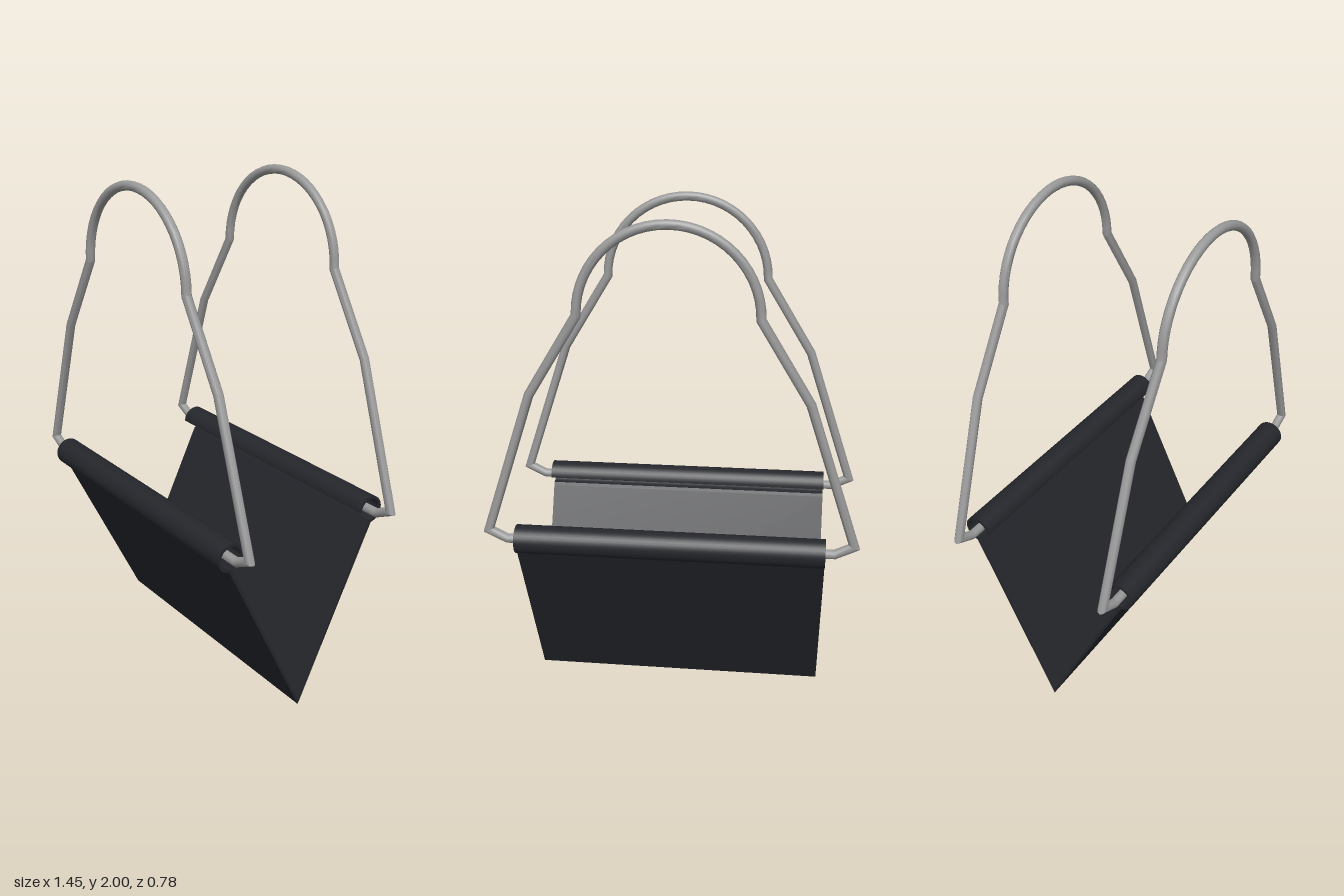
import * as THREE from 'three';
import { toCreasedNormals } from 'three/addons/utils/BufferGeometryUtils.js';

const SPREAD = 0.335;   // z of each handle and sleeve
const SLEEVE_Y = 0.76;  // height of the sleeve centre

// Round rod along a flat path in the xy plane, with mitred bends and closed ends
function rodGeometry(path, radius, sides = 12) {
  const pos = [], index = [];
  const last = path.length - 1;
  path.forEach((p, i) => {
    const a = p.clone().sub(path[Math.max(i - 1, 0)]).normalize();
    const b = path[Math.min(i + 1, last)].clone().sub(p).normalize();
    const t = a.clone().add(b).normalize();
    const cosHalf = i === 0 || i === last ? 1 : t.dot(a);
    const n = new THREE.Vector2(-t.y, t.x).multiplyScalar(radius / cosHalf);
    for (let j = 0; j < sides; j++) {
      const ang = (j / sides) * Math.PI * 2;
      pos.push(p.x + n.x * Math.cos(ang), p.y + n.y * Math.cos(ang), radius * Math.sin(ang));
    }
  });
  for (let i = 0; i < last; i++) {
    for (let j = 0; j < sides; j++) {
      const k = (j + 1) % sides;
      const a = i * sides + j, b = i * sides + k;
      index.push(a, b, a + sides, b, b + sides, a + sides);
    }
  }
  for (let j = 1; j < sides - 1; j++) {
    const e = last * sides;
    index.push(0, j + 1, j, e, e + j, e + j + 1);
  }
  const geo = new THREE.BufferGeometry();
  geo.setAttribute('position', new THREE.Float32BufferAttribute(pos, 3));
  geo.setIndex(index);
  return toCreasedNormals(geo, 0.6);
}

// Handle outline: stub in the sleeve, splayed leg, shoulder, round grip, mirrored
function handlePath() {
  const leg = [[0.44, 0.76], [0.63, 0.76], [0.702, 0.795], [0.517, 1.35], [0.33, 1.655]]
    .map(([x, y]) => new THREE.Vector2(x, y));
  const grip = [];
  for (let i = 1; i < 28; i++) {
    const a = (i / 28) * Math.PI;
    grip.push(new THREE.Vector2(0.33 * Math.cos(a), 1.655 + 0.327 * Math.sin(a)));
  }
  const mirrored = leg.map(p => new THREE.Vector2(-p.x, p.y)).reverse();
  return [...leg, ...grip, ...mirrored];
}

// Sling cross-section: V-shaped panels ending in open C-shaped sleeves
function slingShape() {
  const arc = (r, from, to) => Array.from({ length: 25 }, (_, i) => {
    const a = from + (to - from) * (i / 24);
    return new THREE.Vector2(SPREAD + r * Math.cos(a), SLEEVE_Y + r * Math.sin(a));
  });
  const half = [
    new THREE.Vector2(0.341, 0.703),
    ...arc(0.056, -Math.PI / 2 + 0.12, Math.PI),
    ...arc(0.044, Math.PI, -Math.PI / 2),
    new THREE.Vector2(0.328, 0.704),
  ];
  const other = half.map(p => new THREE.Vector2(-p.x, p.y)).reverse();
  return new THREE.Shape([
    new THREE.Vector2(0, 0), ...half, new THREE.Vector2(0, 0.022), ...other,
  ]);
}

export function createModel() {
  const model = new THREE.Group();
  model.name = 'slingRack';
  const metal = new THREE.MeshStandardMaterial({ color: 0x999999 });
  const cloth = new THREE.MeshStandardMaterial({ color: 0x24262b });

  // Cloth sling, extruded along x
  const width = 1.19;
  const slingGeo = new THREE.ExtrudeGeometry(slingShape(), { depth: width, bevelEnabled: false });
  slingGeo.translate(0, 0, -width / 2).rotateY(Math.PI / 2);
  const sling = new THREE.Mesh(toCreasedNormals(slingGeo, 0.5), cloth);
  sling.name = 'sling';
  model.add(sling);

  // Front and back wire handles
  const handleGeo = rodGeometry(handlePath(), 0.018);
  for (const [name, side] of [['frontHandle', 1], ['backHandle', -1]]) {
    const handle = new THREE.Mesh(handleGeo, metal);
    handle.name = name;
    handle.position.z = side * SPREAD;
    model.add(handle);
  }
  return model;
}
